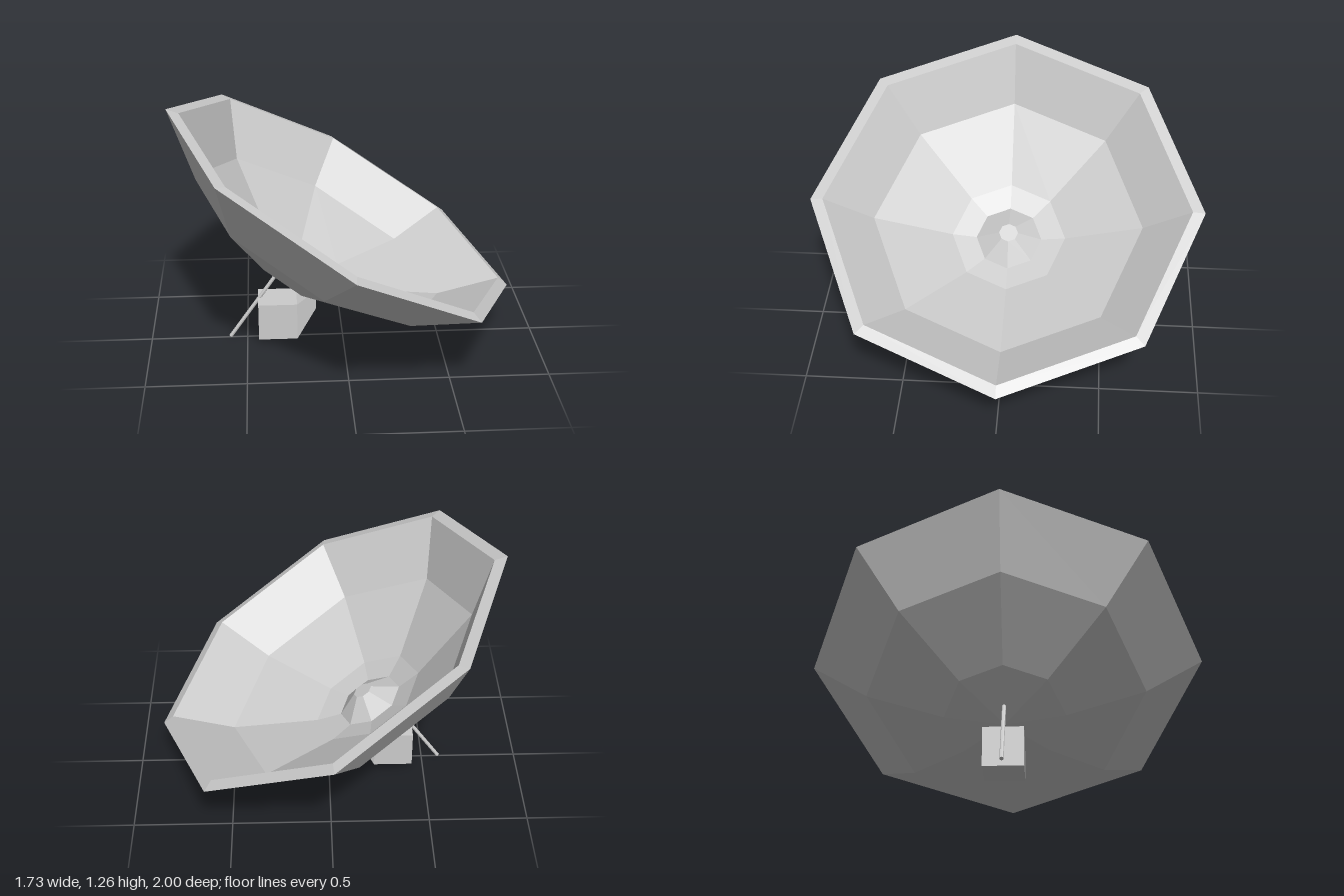
import * as THREE from 'three';

const material = new THREE.MeshStandardMaterial({ color: 0xcccccc, flatShading: true });

function addMesh(parent, name, geometry) {
  const mesh = new THREE.Mesh(geometry, material);
  mesh.name = name;
  parent.add(mesh);
  return mesh;
}

// Eight-sided solid turned from [radius, height] pairs, bottom to top
function octagonLathe(profile) {
  return new THREE.LatheGeometry(profile.map(([r, y]) => new THREE.Vector2(r, y)), 8);
}

// Cube whose +x end runs on into a smaller, raised square end
function housingGeometry() {
  const geometry = new THREE.BoxGeometry(0.2, 0.2, 0.2, 2, 1, 1);
  const p = geometry.attributes.position;
  for (let i = 0; i < p.count; i++) {
    const x = p.getX(i), y = Math.sign(p.getY(i)), z = Math.sign(p.getZ(i));
    if (x > 0.05) p.setXYZ(i, -0.14, 0.23 + y * 0.05, z * 0.05);
    else p.setXYZ(i, x < -0.05 ? -0.44 : -0.24, 0.128 + y * 0.098, z * 0.098);
  }
  geometry.computeVertexNormals();
  return geometry;
}

export function createModel() {
  const model = new THREE.Group();
  model.name = 'dishAntenna';

  // Tilted assembly, origin at the centre of the rim
  const reflector = new THREE.Group();
  reflector.name = 'reflector';
  reflector.position.y = 0.76;
  reflector.rotation.z = -Math.PI / 6;
  model.add(reflector);

  // Bowl: outer skin, sloped rim, inner skin
  addMesh(reflector, 'dish', octagonLathe([
    [0, -0.513], [0.3, -0.445], [0.7, -0.257], [1, 0],
    [0.936, 0.012], [0.7, -0.218], [0.3, -0.403], [0, -0.468],
  ]));

  // Truncated cone in the middle of the bowl
  addMesh(reflector, 'hub', octagonLathe([
    [0, -0.43], [0.173, -0.43], [0.05, -0.352], [0, -0.352],
  ]));

  // Mount behind the bowl
  addMesh(model, 'housing', housingGeometry());

  // Thin rod sloping down from the back of the bowl
  const foot = new THREE.Vector3(-0.588, 0.006, 0);
  const head = new THREE.Vector3(-0.312, 0.4, 0);
  const along = head.clone().sub(foot);
  const rod = addMesh(model, 'rod', new THREE.CylinderGeometry(0.01, 0.01, along.length(), 8));
  rod.position.copy(foot).add(head).multiplyScalar(0.5);
  rod.quaternion.setFromUnitVectors(new THREE.Vector3(0, 1, 0), along.normalize());

  return model;
}
